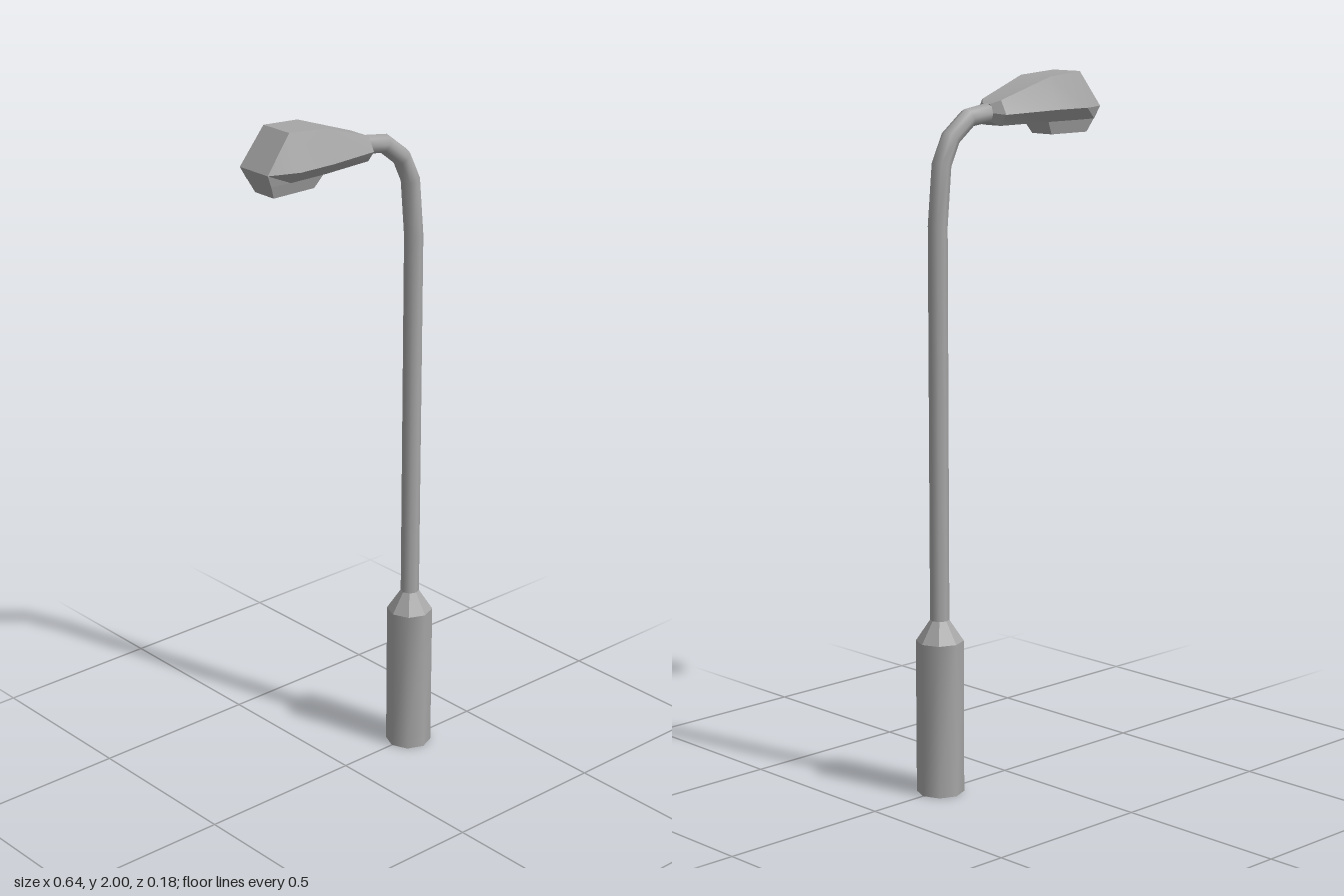
import * as THREE from 'three';
import { toCreasedNormals } from 'three/addons/utils/BufferGeometryUtils.js';

// Skin closed rings of points (each counter-clockwise about the travel direction), with end caps.
function loft(rings, crease) {
  const n = rings[0].length, pos = [];
  const tri = (a, b, c) => pos.push(...a, ...b, ...c);
  for (let i = 0; i < rings.length - 1; i++) {
    for (let j = 0; j < n; j++) {
      const k = (j + 1) % n, r = rings[i], s = rings[i + 1];
      tri(r[j], r[k], s[k]);
      tri(r[j], s[k], s[j]);
    }
  }
  const first = rings[0], last = rings[rings.length - 1];
  for (let j = 1; j < n - 1; j++) {
    tri(first[0], first[j + 1], first[j]);
    tri(last[0], last[j], last[j + 1]);
  }
  const g = new THREE.BufferGeometry();
  g.setAttribute('position', new THREE.Float32BufferAttribute(pos, 3));
  return toCreasedNormals(g, crease);
}

export function createModel() {
  const group = new THREE.Group();
  group.name = 'streetLamp';
  const metal = new THREE.MeshStandardMaterial({ color: 0xa6a6a6 });
  metal.name = 'grey metal';
  const add = (name, geometry) => {
    const mesh = new THREE.Mesh(geometry, metal);
    mesh.name = name;
    group.add(mesh);
    return mesh;
  };
  const poleX = 0.253;

  // Octagonal base and its tapering collar
  add('base', toCreasedNormals(new THREE.CylinderGeometry(0.067, 0.067, 0.44, 8), 0.9))
    .position.set(poleX, 0.22, 0);
  add('collar', toCreasedNormals(new THREE.CylinderGeometry(0.027, 0.067, 0.06, 8, 1, true), 0.1))
    .position.set(poleX, 0.47, 0);

  // Pole and bent arm: centre x, centre y, tilt in degrees
  const path = [
    [poleX, 0.49, 0], [poleX, 1.6, 2], [0.238, 1.765, 15],
    [0.204, 1.836, 40], [0.138, 1.887, 66], [0.06, 1.898, 82],
  ];
  const poleRings = path.map(([x, y, tilt]) => {
    const t = THREE.MathUtils.degToRad(tilt);
    return Array.from({ length: 8 }, (_, i) => {
      const a = i * Math.PI / 4, u = 0.027 * Math.cos(a);
      return [x + u * Math.cos(t), y + u * Math.sin(t), -0.027 * Math.sin(a)];
    });
  });
  add('pole', loft(poleRings, 0.9));

  // Lamp housing: hexagonal sections given as top, rim and bottom [x, y, half width]
  const sections = [
    [[-0.32, 1.9, 0.057], [-0.32, 1.9, 0.057], [-0.303, 1.865, 0.05]],
    [[-0.242, 2.0, 0.052], [-0.235, 1.9, 0.09], [-0.24, 1.865, 0.055]],
    [[-0.12, 1.99, 0.058], [-0.12, 1.9, 0.09], [-0.12, 1.865, 0.055]],
    [[0.05, 1.932, 0.037], [0.05, 1.893, 0.058], [0.05, 1.862, 0.035]],
    [[0.07, 1.921, 0.014], [0.07, 1.897, 0.027], [0.07, 1.874, 0.014]],
  ];
  const housingRings = sections.map(([top, rim, bottom]) => {
    const side = ([x, y, w], s) => [x, y, s * w];
    return [side(top, -1), side(top, 1), side(rim, 1), side(bottom, 1), side(bottom, -1), side(rim, -1)];
  });
  add('housing', loft(housingRings, 0.4));

  // Lens under the housing
  const rect = (x0, x1, y, w) => [[x1, y, w], [x1, y, -w], [x0, y, -w], [x0, y, w]];
  add('lens', loft([rect(-0.285, -0.145, 1.828, 0.038), rect(-0.303, -0.12, 1.867, 0.05)], 0.3));

  return group;
}
